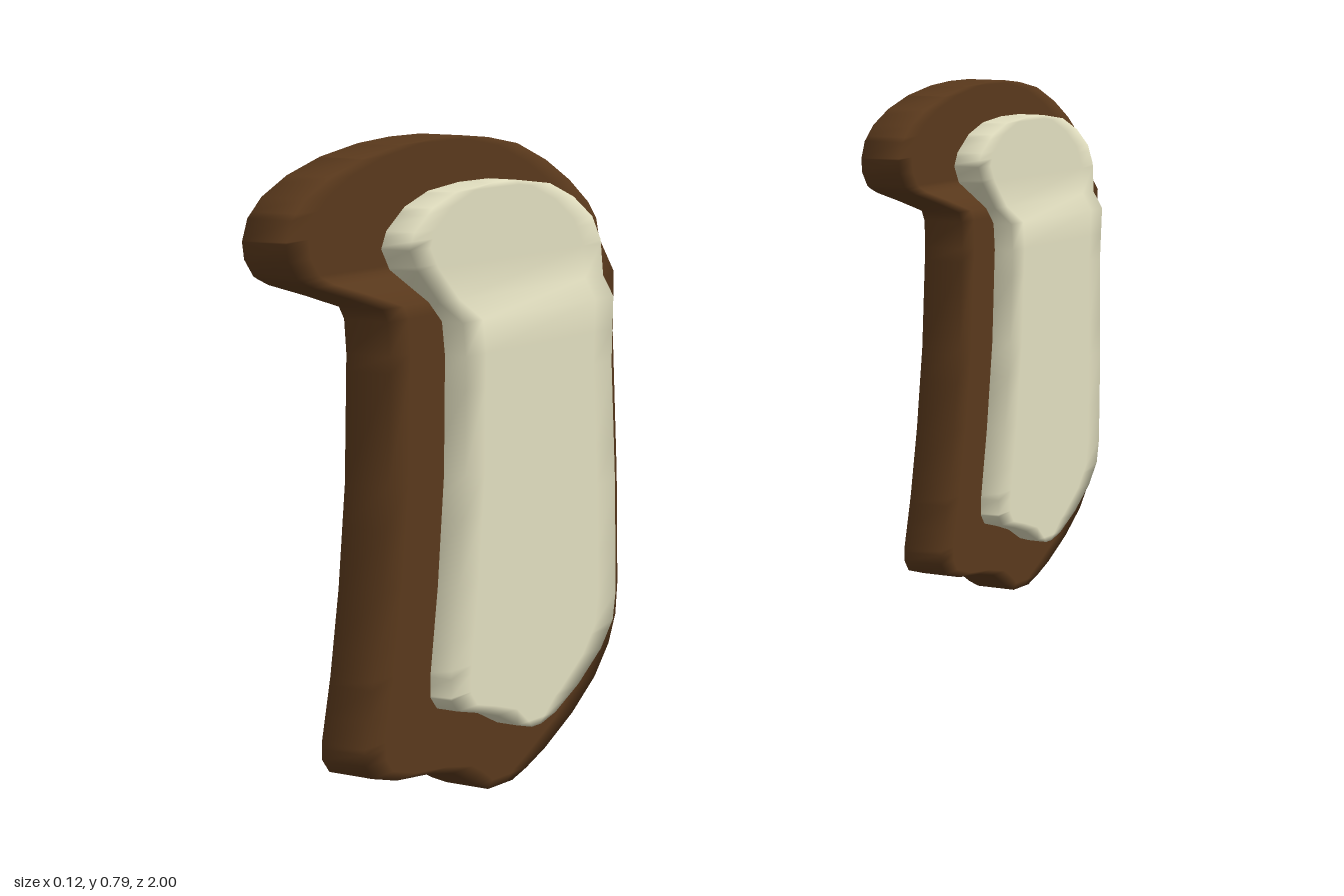
import * as THREE from 'three';

// Outline edges as [z, y], from bottom to top
const bodyFront = [[0.67, 0.005], [0.70, 0.018], [0.74, 0.04], [0.79, 0.05], [0.85, 0.056], [0.895, 0.068], [0.908, 0.085],
  [0.908, 0.105], [0.89, 0.18], [0.872, 0.28], [0.857, 0.4], [0.85, 0.55], [0.853, 0.59], [0.862, 0.605], [0.91, 0.622],
  [0.96, 0.638], [0.982, 0.65], [0.997, 0.67], [1.0, 0.69], [0.99, 0.715], [0.965, 0.737], [0.92, 0.758],
  [0.86, 0.775], [0.79, 0.786], [0.73, 0.79]];
const bodyBack = [[0.62, 0.005], [0.59, 0.014], [0.55, 0.03], [0.49, 0.062], [0.44, 0.098], [0.408, 0.135], [0.392, 0.17],
  [0.387, 0.21], [0.387, 0.35], [0.394, 0.53], [0.391, 0.605], [0.386, 0.645], [0.392, 0.67], [0.41, 0.692],
  [0.45, 0.722], [0.5, 0.75], [0.56, 0.774], [0.62, 0.785], [0.67, 0.79]];
const panelFront = [[0.62, 0.075], [0.65, 0.083], [0.69, 0.103], [0.73, 0.115], [0.77, 0.125], [0.782, 0.14], [0.782, 0.165],
  [0.765, 0.27], [0.75, 0.4], [0.745, 0.54], [0.75, 0.58], [0.775, 0.605], [0.815, 0.645], [0.83, 0.67],
  [0.82, 0.69], [0.785, 0.715], [0.74, 0.73], [0.68, 0.736]];
const panelBack = [[0.6, 0.075], [0.57, 0.083], [0.52, 0.108], [0.47, 0.143], [0.443, 0.175], [0.436, 0.21], [0.436, 0.35],
  [0.442, 0.5], [0.437, 0.58], [0.437, 0.605], [0.442, 0.65], [0.46, 0.68], [0.5, 0.707], [0.55, 0.727], [0.62, 0.736]];

// z of an edge at height y
function edgeAt(edge, y) {
  for (let i = 1; i < edge.length; i++) {
    const [z0, y0] = edge[i - 1], [z1, y1] = edge[i];
    if (y <= y1) return z0 + (z1 - z0) * (y - y0) / (y1 - y0);
  }
  return edge[edge.length - 1][0];
}

// Slab lofted upward between two edges, stepping sideways at the bend
function slab(front, back, xBack, xFace, bend, inset) {
  const levels = [...new Set([...front, ...back].map(p => p[1]))].sort((a, b) => a - b);
  const pos = [], index = [];
  const quad = (a, b, c, d) => index.push(a, b, c, a, c, d);
  for (const y of levels) {
    const zf = edgeAt(front, y), zb = edgeAt(back, y);
    const d = Math.min(inset, (zf - zb) * 0.3);
    const x = bend.shift * THREE.MathUtils.clamp((y - bend.from) / (bend.to - bend.from), 0, 1);
    const cols = [zf, zf - d, zb + d, zb];
    for (const z of cols) pos.push(xFace + x, y, z);
    for (const z of cols.reverse()) pos.push(xBack + x, y, z);
  }
  const top = (levels.length - 1) * 8;
  for (let j = 0; j < top; j += 8)
    for (let i = 0; i < 8; i++) {
      const k = (i + 1) % 8;
      quad(j + i, j + k, j + 8 + k, j + 8 + i);
    }
  // End caps
  for (let i = 0; i < 3; i++) {
    quad(top + i, top + i + 1, top + 6 - i, top + 7 - i);
    quad(7 - i, 6 - i, i + 1, i);
  }
  const geo = new THREE.BufferGeometry();
  geo.setAttribute('position', new THREE.Float32BufferAttribute(pos, 3));
  geo.setIndex(index);
  geo.computeVertexNormals();
  return geo;
}

export function createModel() {
  const group = new THREE.Group();
  const crust = new THREE.MeshStandardMaterial({ color: 0x5a391c });
  const cream = new THREE.MeshStandardMaterial({ color: 0xe2dfc0 });
  const bodyGeo = slab(bodyFront, bodyBack, -0.035, 0.027, { from: 0.605, to: 0.645, shift: -0.025 }, 0.04);
  const panelGeo = slab(panelFront, panelBack, 0.0, 0.057, { from: 0.58, to: 0.605, shift: -0.015 }, 0.04);

  // Two identical pieces, one behind the other
  for (const [name, z] of [['frontPiece', 0], ['rearPiece', -1.387]]) {
    const piece = new THREE.Group();
    piece.name = name;
    const body = new THREE.Mesh(bodyGeo, crust);
    body.name = 'body';
    const panel = new THREE.Mesh(panelGeo, cream);
    panel.name = 'raisedPanel';
    piece.add(body, panel);
    piece.position.set(0, -0.005, z);
    group.add(piece);
  }
  return group;
}
